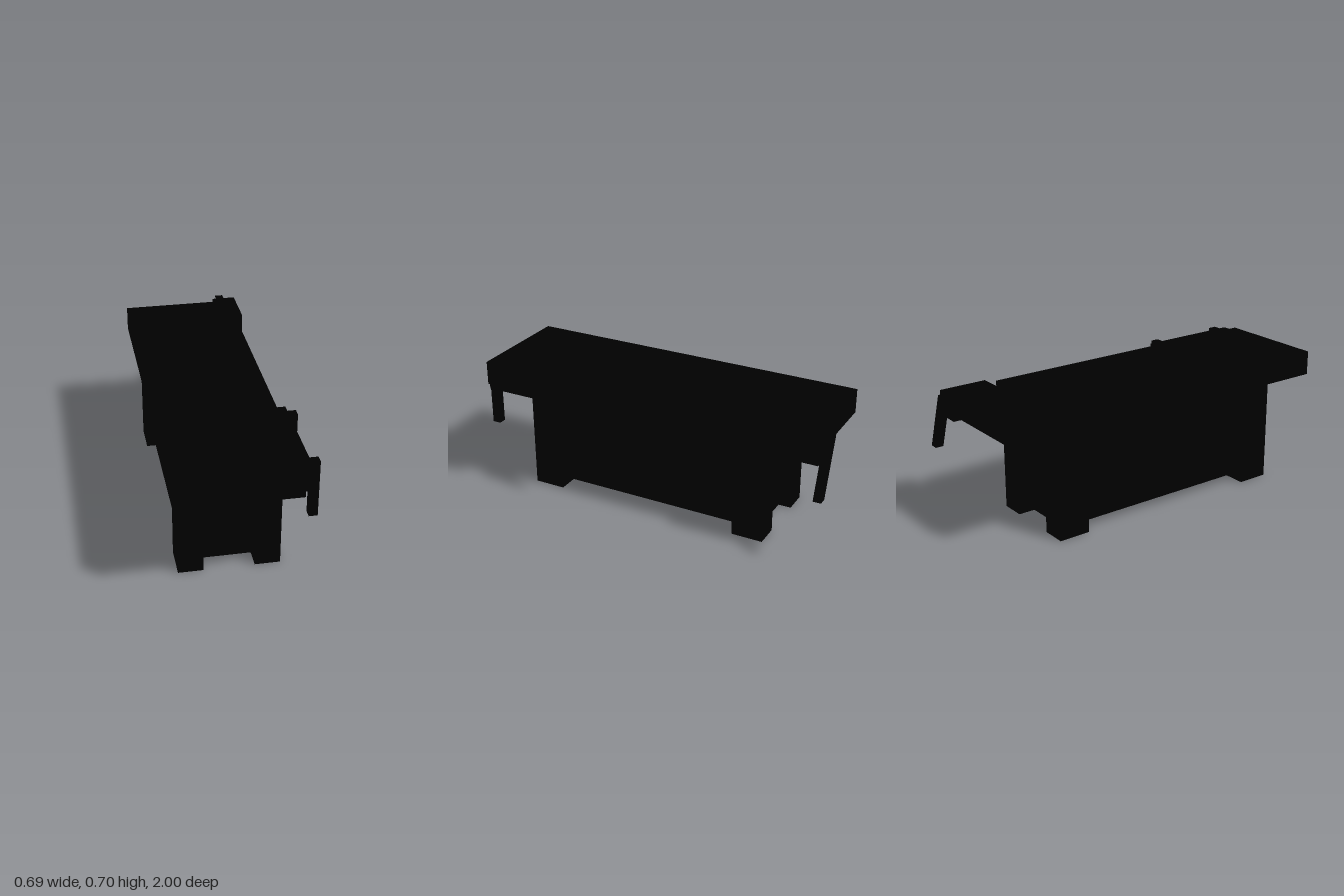
import * as THREE from 'three';

export function createModel() {
  const group = new THREE.Group();
  group.name = 'workbench';
  const black = new THREE.MeshStandardMaterial({ color: 0x000000 });
  black.name = 'black';

  const add = (name, geometry) => {
    const mesh = new THREE.Mesh(geometry, black);
    mesh.name = name;
    group.add(mesh);
    return mesh;
  };
  // Box given by its lower and upper limits on each axis
  const box = (name, [x0, x1], [y0, y1], [z0, z1]) =>
    add(name, new THREE.BoxGeometry(x1 - x0, y1 - y0, z1 - z0)
      .translate((x0 + x1) / 2, (y0 + y1) / 2, (z0 + z1) / 2));
  const prism = (points, depth) => new THREE.ExtrudeGeometry(
    new THREE.Shape(points.map(([x, y]) => new THREE.Vector2(x, y))),
    { depth, bevelEnabled: false });

  const slab = [0.565, 0.697];

  // Worktop with a notch at the back corner for the end vise
  const top = prism([
    [-0.348, -1], [0.26, -1], [0.26, 0.655], [0.172, 0.655], [0.172, 0.915], [-0.348, 0.915],
  ], slab[1] - slab[0]);
  top.rotateX(-Math.PI / 2).translate(0, slab[0], 0);
  add('worktop', top);

  // Cabinet set back slightly between the legs
  box('cabinet', [-0.262, 0.173], [0.045, 0.565], [-0.607, 0.697]);
  for (const x of [[-0.305, -0.175], [0.086, 0.217]])
    for (const z of [[-0.65, -0.477], [0.567, 0.74]])
      box('leg', x, [0, 0.565], z);

  // Side vise with two upright handles
  box('sideViseJaw', [0.26, 0.303], slab, [0.39, 0.955]);
  for (const z of [0.433, 0.872])
    box('sideViseHandle', [0.303, 0.347], [0.393, 0.697], [z, z + 0.044]);

  // End vise with a slanted handle
  box('endViseJaw', [0.172, 0.303], slab, [-0.957, -0.697]);
  const handle = prism([[0.303, 0.393], [0.347, 0.393], [0.24, 0.697], [0.195, 0.697]], 0.043);
  add('endViseHandle', handle.translate(0, 0, -1));

  return group;
}
